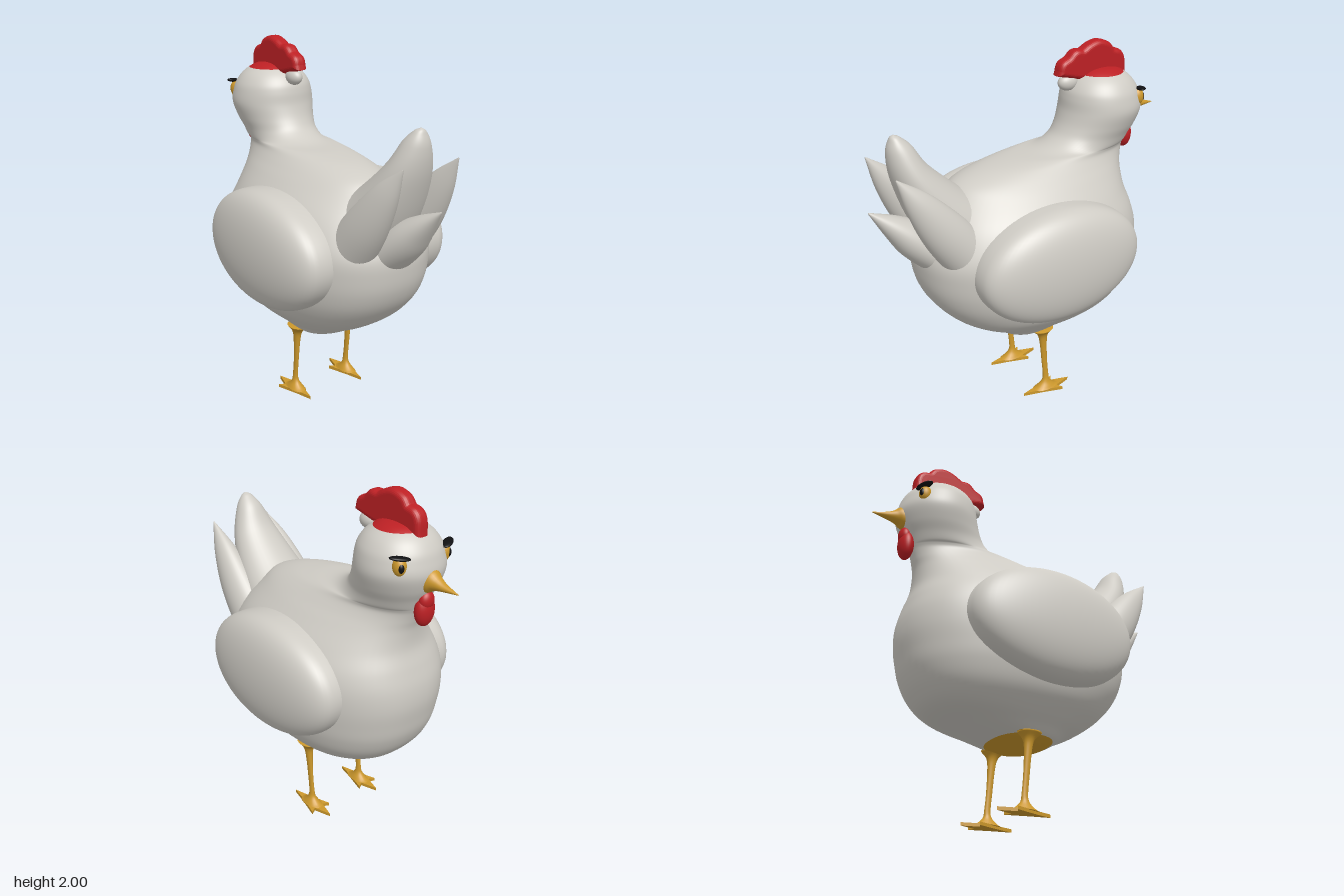
import * as THREE from 'three';

const mat = (name, color) => Object.assign(new THREE.MeshStandardMaterial({ color }), { name });

// Smooth loft through sections [x, y, z, halfWidth, halfDepth]; rings are level or follow the path.
function loft(sections, { level = false, power = () => 2, slot = () => 0, sides = 40, sub = 6 } = {}) {
  const curve = (f) => new THREE.CatmullRomCurve3(sections.map(f), false, 'catmullrom', 0.5);
  const path = curve((s) => new THREE.Vector3(s[0], s[1], s[2]));
  const size = curve((s) => new THREE.Vector3(s[3], s[4], 0));
  const rings = (sections.length - 1) * sub;
  const pos = [], idx = [], geo = new THREE.BufferGeometry();
  const sp = (v, e) => Math.sign(v) * Math.pow(Math.abs(v), e);
  for (let i = 0; i <= rings; i++) {
    const c = path.getPoint(i / rings), r = size.getPoint(i / rings);
    const d = level ? new THREE.Vector3(0, 1, 0) : path.getTangent(i / rings).setX(0).normalize();
    const e = 2 / power(c.y);
    for (let j = 0; j < sides; j++) {
      const a = (j / sides) * Math.PI * 2;
      const u = sp(Math.cos(a), e) * Math.max(r.x, 0.001), v = sp(Math.sin(a), e) * Math.max(r.y, 0.001);
      pos.push(c.x + u, c.y - d.z * v, c.z + d.y * v);
    }
  }
  const first = pos.length / 3, a = sections[0], b = sections[sections.length - 1];
  pos.push(a[0], a[1], a[2], b[0], b[1], b[2]);
  let start = 0, current = slot(a[1]);
  for (let i = 0; i < rings; i++) {
    const s = slot(path.getPoint((i + 0.5) / rings).y);
    if (s !== current) {
      geo.addGroup(start, idx.length - start, current);
      start = idx.length;
      current = s;
    }
    for (let j = 0; j < sides; j++) {
      const k = (j + 1) % sides, p = i * sides + j, q = i * sides + k;
      if (i === 0) idx.push(first, p, q);
      idx.push(p, p + sides, q, q, p + sides, q + sides);
      if (i === rings - 1) idx.push(first + 1, q + sides, p + sides);
    }
  }
  geo.addGroup(start, idx.length - start, current);
  geo.setAttribute('position', new THREE.Float32BufferAttribute(pos, 3));
  geo.setIndex(idx);
  geo.computeVertexNormals();
  return geo;
}

export function createModel() {
  const white = mat('feather white', 0xcfccc5);
  const red = mat('comb red', 0xbc2024);
  const yellow = mat('beak yellow', 0xcc982c);
  const black = mat('black', 0x101012);

  const group = new THREE.Group();
  const add = (name, geo, material, parent = group) => {
    const m = new THREE.Mesh(geo, material);
    m.name = name;
    parent.add(m);
    return m;
  };
  const ball = (name, material, p, r, parent) => {
    const m = add(name, new THREE.SphereGeometry(1, 32, 20), material, parent);
    m.position.set(...p);
    m.scale.set(...r);
    return m;
  };

  // Body, neck and head in one skin: [y, front z, back z, half width]
  const slices = [
    [0.40, -0.03, 0.10, 0.13], [0.425, -0.14, 0.19, 0.2], [0.47, -0.32, 0.27, 0.25],
    [0.52, -0.5, 0.37, 0.31], [0.6, -0.59, 0.48, 0.38], [0.7, -0.645, 0.57, 0.42],
    [0.8, -0.67, 0.62, 0.44], [0.9, -0.685, 0.64, 0.45], [1.0, -0.68, 0.64, 0.45],
    [1.1, -0.655, 0.6, 0.43], [1.2, -0.625, 0.55, 0.38], [1.3, -0.625, 0.47, 0.3],
    [1.36, -0.64, 0.4, 0.245], [1.405, -0.655, 0.26, 0.205], [1.43, -0.665, 0.08, 0.19],
    [1.445, -0.67, -0.1, 0.185], [1.49, -0.69, -0.2, 0.19], [1.55, -0.72, -0.25, 0.21],
    [1.63, -0.742, -0.28, 0.23], [1.7, -0.73, -0.29, 0.222], [1.75, -0.71, -0.305, 0.203],
    [1.8, -0.668, -0.345, 0.162], [1.84, -0.6, -0.41, 0.095], [1.855, -0.505, -0.495, 0.005],
  ];
  add('body', loft(slices.map(([y, f, b, w]) => [0, y, (f + b) / 2, w, (b - f) / 2]), {
    level: true, sides: 64,
    power: (y) => 2.35 - 0.35 * THREE.MathUtils.smoothstep(y, 1.0, 1.4),
    slot: (y) => (y < 0.425 ? 1 : y > 1.82 ? 2 : 0),
  }), [white, yellow, red]);

  // Tail feathers
  const feather = (name, s) => add(name, loft(s), white);
  feather('tailMiddle', [[0, 1.08, 0.36, 0.24, 0.2], [0, 1.25, 0.52, 0.2, 0.16], [0, 1.45, 0.655, 0.14, 0.105],
    [0, 1.6, 0.715, 0.08, 0.07], [0, 1.67, 0.738, 0.035, 0.03], [0, 1.69, 0.742, 0.005, 0.005]]);
  feather('tailLower', [[0, 0.95, 0.5, 0.16, 0.1], [0, 1.1, 0.66, 0.125, 0.1], [0, 1.2, 0.77, 0.08, 0.065],
    [0, 1.31, 0.9, 0.004, 0.004]]);
  for (const s of [1, -1]) {
    feather('tailSide', [[s * 0.17, 1.0, 0.42, 0.13, 0.14], [s * 0.185, 1.2, 0.58, 0.1, 0.12],
      [s * 0.185, 1.38, 0.71, 0.06, 0.075], [s * 0.18, 1.53, 0.82, 0.004, 0.004]]);
  }

  // Wings: ellipsoids flattened towards a broad outer face
  for (const s of [1, -1]) {
    const geo = new THREE.SphereGeometry(1, 64, 40), p = geo.attributes.position;
    for (let i = 0; i < p.count; i++) {
      const x = p.getX(i);
      p.setXYZ(i, Math.sign(x) * Math.pow(Math.abs(x), 0.62) * 0.2, p.getY(i) * 0.32, p.getZ(i) * 0.49);
    }
    geo.computeVertexNormals();
    const wing = add('wing', geo, white);
    wing.position.set(s * 0.355, 0.95, 0);
    wing.rotation.y = s > 0 ? 0 : Math.PI;
  }

  // Comb with a lumpy upper edge, drawn in (-z, y)
  const crest = new THREE.Shape();
  crest.moveTo(0.25, 1.855);
  crest.splineThru([[0.26, 1.885], [0.3, 1.905], [0.335, 1.935], [0.38, 1.935], [0.43, 1.96], [0.48, 1.972],
    [0.535, 1.955], [0.565, 1.92], [0.61, 1.905], [0.63, 1.875], [0.635, 1.82]].map((q) => new THREE.Vector2(...q)));
  crest.lineTo(0.5, 1.81);
  crest.lineTo(0.35, 1.83);
  const combGeo = new THREE.ExtrudeGeometry(crest, {
    depth: 0.024, bevelSize: 0.028, bevelThickness: 0.03, bevelSegments: 6, curveSegments: 40,
  });
  combGeo.translate(0, 0, -0.012).rotateY(Math.PI / 2);
  add('comb', combGeo, red);
  ball('combRoot', white, [0, 1.79, -0.295], [0.04, 0.045, 0.06]);
  ball('wattle', red, [0, 1.435, -0.69], [0.06, 0.085, 0.042]);
  ball('wattleTop', red, [0, 1.49, -0.7], [0.045, 0.05, 0.034]);

  // Beak
  add('beak', loft([[0, 1.6, -0.7, 0.06, 0.07], [0, 1.6, -0.735, 0.052, 0.057], [0, 1.595, -0.765, 0.037, 0.037],
    [0, 1.588, -0.81, 0.023, 0.02], [0, 1.58, -0.895, 0.002, 0.002]], { sides: 24 }), yellow);

  for (const s of [1, -1]) {
    // Eye, turned outwards, with pupil and brow
    const eye = new THREE.Group();
    eye.name = 'eye';
    eye.position.set(s * 0.15, 1.69, -0.655);
    eye.rotation.y = -s * 0.5;
    group.add(eye);
    ball('eyeball', yellow, [0, 0, 0], [0.036, 0.05, 0.038], eye);
    ball('pupil', black, [0, 0, -0.026], [0.017, 0.026, 0.016], eye);
    const brow = ball('brow', black, [s * 0.005, 0.047, -0.02], [0.054, 0.011, 0.026], eye);
    brow.rotation.z = s * 0.15;

    // Leg spreading into the foot
    const x = s * 0.187;
    add('leg', loft([[x, 0.015, -0.05, 0.045, 0.085], [x, 0.03, -0.05, 0.036, 0.055], [x, 0.06, -0.05, 0.02, 0.025],
      [x, 0.1, -0.05, 0.013, 0.018], [x, 0.2, -0.04, 0.012, 0.018], [x, 0.33, -0.03, 0.018, 0.022],
      [x, 0.39, -0.025, 0.028, 0.033], [x, 0.43, -0.02, 0.055, 0.07]], { level: true, sides: 20 }), yellow);

    // Webbed toes
    const web = new THREE.Shape([[0, 0.1], [-0.025, 0], [-0.065, -0.13], [-0.03, -0.11], [0, -0.21],
      [0.03, -0.11], [0.065, -0.13], [0.025, 0]].map((q) => new THREE.Vector2(...q)));
    const foot = add('foot', new THREE.ExtrudeGeometry(web, { depth: 0.018, bevelEnabled: false }), yellow);
    foot.geometry.rotateX(Math.PI / 2);
    foot.position.set(x, 0.018, 0);
  }
  return group;
}
